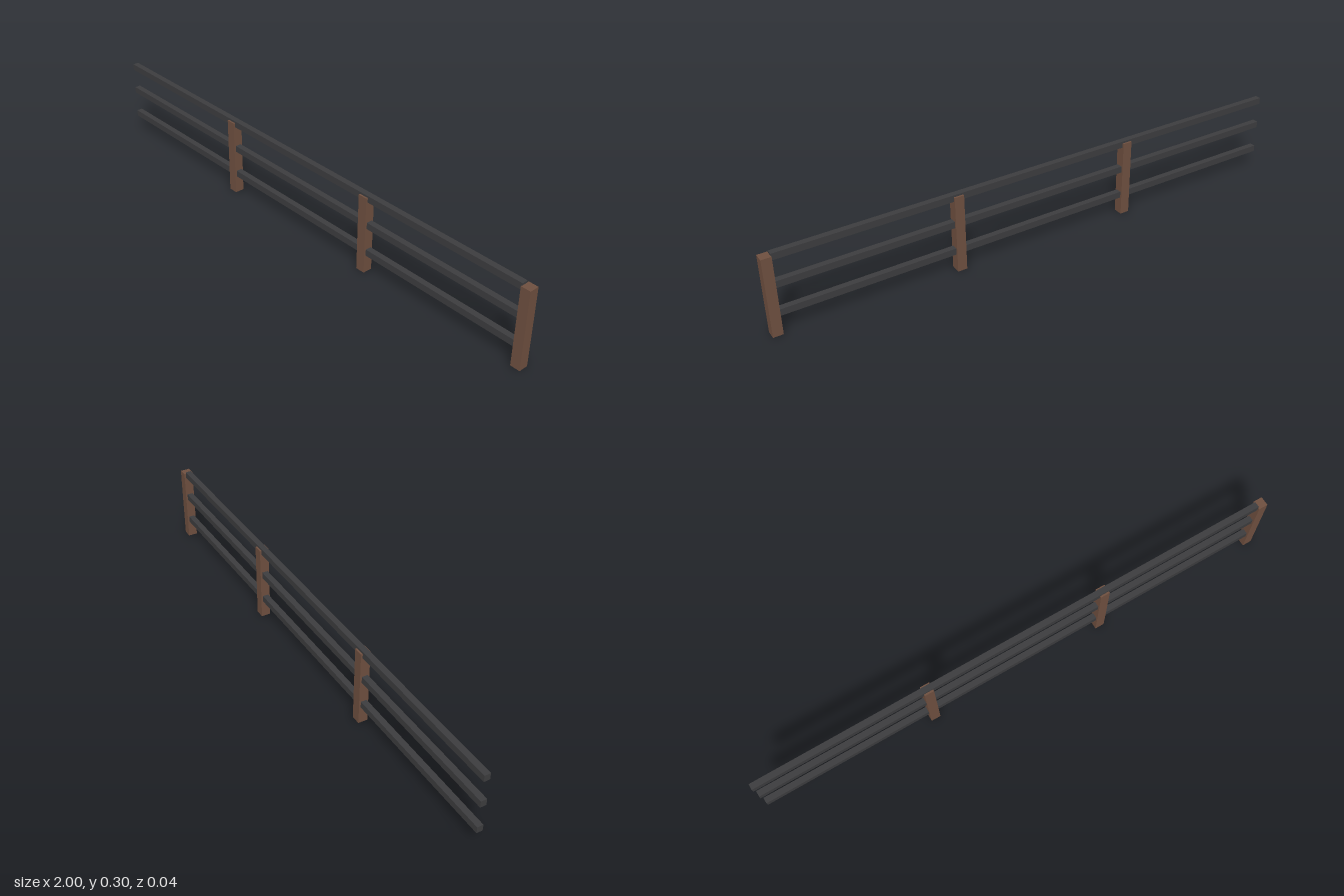
import * as THREE from 'three';

const POST = { width: 0.035, height: 0.289 };
const RAIL = { height: 0.024, depth: 0.022, start: -1, end: 0.966 };

export function createModel() {
  const fence = new THREE.Group();
  fence.name = 'railFence';
  const wood = new THREE.MeshStandardMaterial({ color: 0x6e4f3f });
  const metal = new THREE.MeshStandardMaterial({ color: 0x3c3c3e });

  // Square posts: two along the run and one closing the left end
  const postGeometry = new THREE.BoxGeometry(POST.width, POST.height, POST.width);
  [-0.358, 0.327, 0.9825].forEach((x, i) => {
    const post = new THREE.Mesh(postGeometry, wood);
    post.name = `post${i + 1}`;
    post.position.set(x, POST.height / 2, 0);
    fence.add(post);
  });

  // Horizontal rails, open at the right end and butting against the end post
  const railGeometry = new THREE.BoxGeometry(RAIL.end - RAIL.start, RAIL.height, RAIL.depth);
  ['lowerRail', 'middleRail', 'topRail'].forEach((name, i) => {
    const rail = new THREE.Mesh(railGeometry, metal);
    rail.name = name;
    rail.position.set((RAIL.start + RAIL.end) / 2, [0.078, 0.183, 0.284][i], 0);
    fence.add(rail);
  });

  return fence;
}
